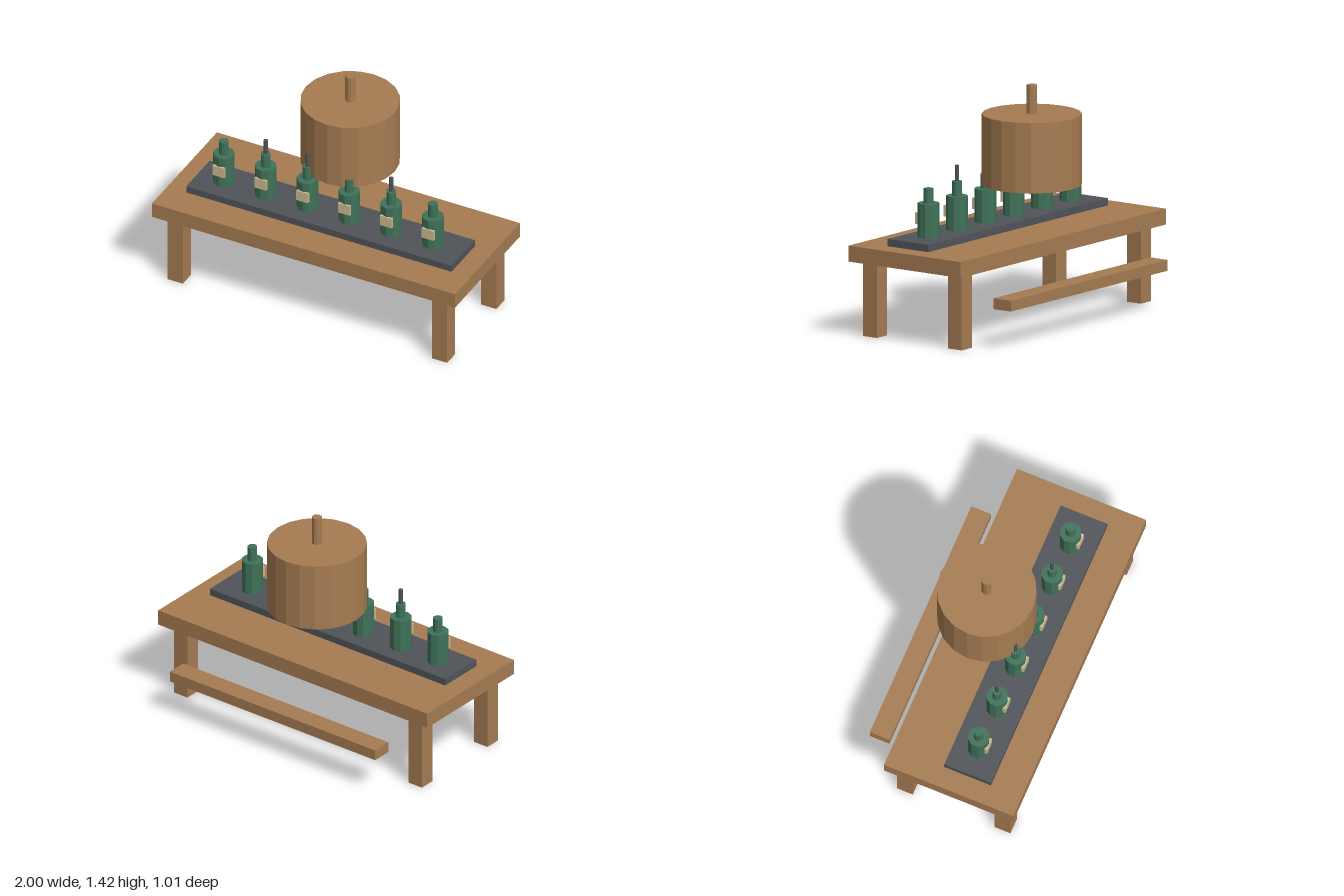
import * as THREE from 'three';

function material(name, color) {
  const m = new THREE.MeshStandardMaterial({ color, flatShading: true });
  m.name = name;
  return m;
}

export function createModel() {
  const wood = material('wood', 0xa67c52);
  const slate = material('slate', 0x4f5459);
  const glass = material('greenGlass', 0x3f7259);
  const paper = material('paper', 0xcdb990);

  const model = new THREE.Group();
  model.name = 'bottleTable';

  // Box given by its extents on each axis
  function box(name, mat, [x0, x1], [y0, y1], [z0, z1], parent = model) {
    const mesh = new THREE.Mesh(new THREE.BoxGeometry(x1 - x0, y1 - y0, z1 - z0), mat);
    mesh.position.set((x0 + x1) / 2, (y0 + y1) / 2, (z0 + z1) / 2);
    mesh.name = name;
    parent.add(mesh);
  }

  // Upright cylinder between two heights
  function post(name, mat, r, y0, y1, z, sides, parent = model) {
    const mesh = new THREE.Mesh(new THREE.CylinderGeometry(r, r, y1 - y0, sides), mat);
    mesh.position.set(0, (y0 + y1) / 2, z);
    mesh.name = name;
    parent.add(mesh);
  }

  // Table
  box('tableTop', wood, [-1, 1], [0.45, 0.545], [-0.315, 0.505]);
  for (const x of [-0.872, 0.872]) {
    for (const z of [-0.215, 0.405]) {
      box('leg', wood, [x - 0.05, x + 0.05], [0, 0.45], [z - 0.05, z + 0.05]);
    }
  }

  // Low bench rail behind the table
  box('rearRail', wood, [-0.763, 0.763], [0.235, 0.3], [-0.505, -0.38]);

  // Tray under the bottles
  box('tray', slate, [-0.875, 0.875], [0.545, 0.588], [0.015, 0.311]);

  // Barrel with its bung
  post('barrel', wood, 0.293, 0.825, 1.245, -0.085, 20);
  post('barrelBung', wood, 0.03, 1.245, 1.417, -0.085, 10);

  // Row of bottles, some with a pouring spout
  const spouted = [1, 2, 4];
  for (let i = 0; i < 6; i++) {
    const bottle = new THREE.Group();
    bottle.name = 'bottle';
    bottle.position.set(-0.705 + i * 0.276, 0, 0.162);
    post('bottleBody', glass, 0.064, 0.588, 0.79, 0, 10, bottle);
    post('bottleNeck', glass, 0.029, 0.79, 0.877, 0, 10, bottle);
    box('label', paper, [-0.039, 0.039], [0.663, 0.73], [0.052, 0.069], bottle);
    if (spouted.includes(i)) post('spout', slate, 0.013, 0.877, 0.971, 0, 8, bottle);
    model.add(bottle);
  }

  return model;
}
